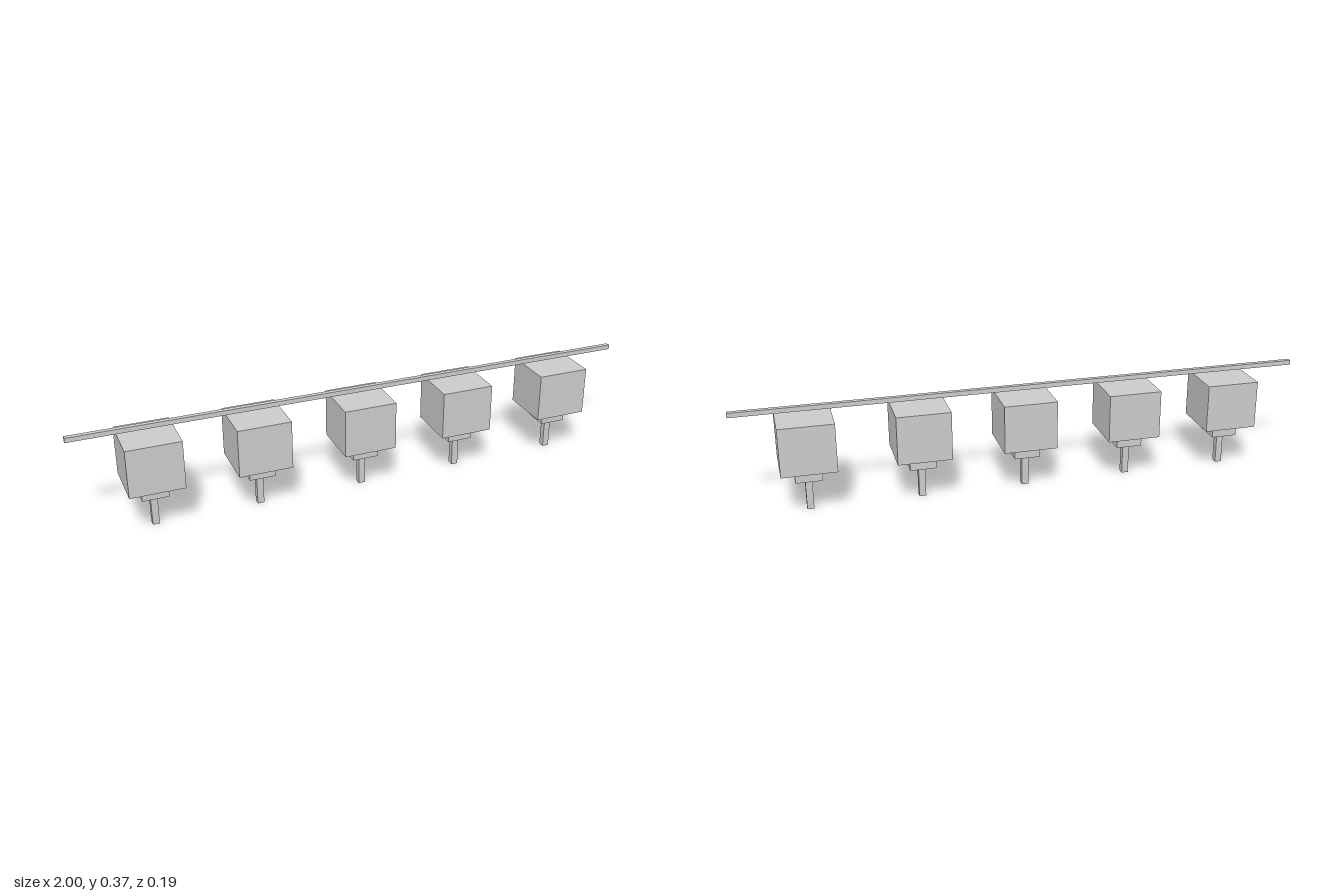
import * as THREE from 'three';

export function createModel() {
  const model = new THREE.Group();
  const material = new THREE.MeshStandardMaterial({ color: 0xcccccc, flatShading: true });
  const openMaterial = material.clone();
  openMaterial.side = THREE.DoubleSide;

  // Square block spanning bottom to top
  function block(name, width, bottom, top) {
    const mesh = new THREE.Mesh(new THREE.BoxGeometry(width, top - bottom, width), material);
    mesh.name = name;
    mesh.position.y = (bottom + top) / 2;
    return mesh;
  }

  // Row of hanging units: large body, collar and thin stem
  [-0.739, -0.372, 0.004, 0.372, 0.757].forEach((x, i) => {
    const unit = new THREE.Group();
    unit.name = `hangingUnit${i + 1}`;
    unit.position.x = x;
    unit.add(
      block('body', 0.187, 0.162, 0.333),
      block('collar', 0.091, 0.115, 0.162),
      block('stem', 0.0235, 0, 0.115)
    );
    model.add(unit);
  });

  // Square hollow rail, open at both ends
  const side = 0.0165;
  const railGeometry = new THREE.CylinderGeometry(side / Math.SQRT2, side / Math.SQRT2, 2, 4, 1, true);
  railGeometry.rotateY(Math.PI / 4).rotateZ(Math.PI / 2);
  const rail = new THREE.Mesh(railGeometry, openMaterial);
  rail.name = 'rail';
  rail.position.y = 0.372 - side / 2;
  model.add(rail);

  return model;
}
